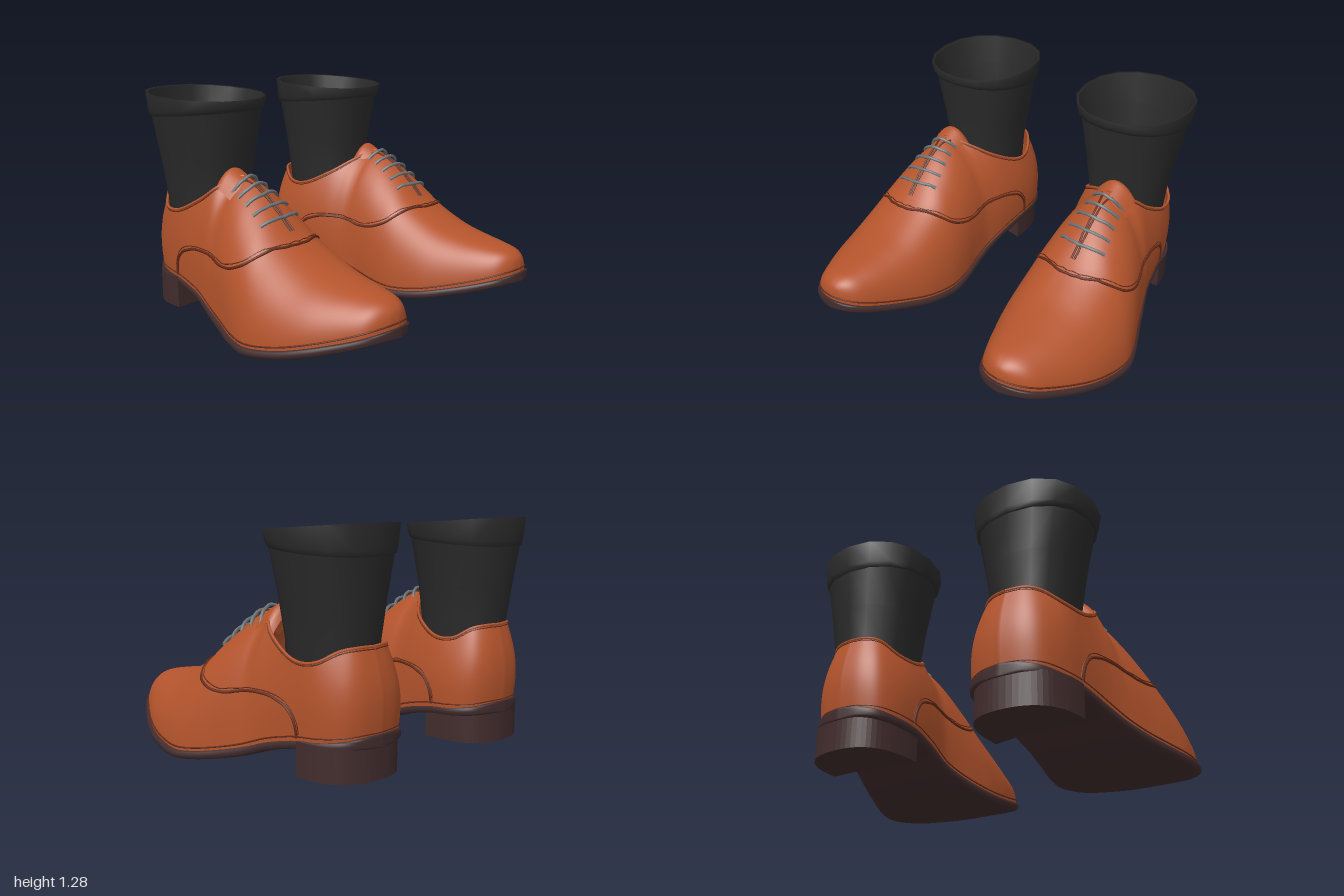
import * as THREE from 'three';
import { mergeGeometries, mergeVertices } from 'three/addons/utils/BufferGeometryUtils.js';

const mat = (name, color) => new THREE.MeshStandardMaterial({ name, color, side: THREE.DoubleSide });
const V = (x, y, z) => new THREE.Vector3(x, y, z);
const lerp = THREE.MathUtils.lerp;

// Stations toe to heel: z, sole bottom y, inner x, outer x, top y, top inner x, top outer x, heel blend
const STATIONS = [
  [0.885, 0.168, 0.59, 0.59, 0.25, 0.59, 0.59, 0],
  [0.868, 0.162, 0.51, 0.675, 0.305, 0.59, 0.59, 0],
  [0.81, 0.142, 0.43, 0.768, 0.345, 0.59, 0.59, 0],
  [0.70, 0.105, 0.365, 0.842, 0.37, 0.59, 0.59, 0],
  [0.54, 0.06, 0.295, 0.925, 0.40, 0.59, 0.59, 0],
  [0.38, 0.023, 0.24, 0.975, 0.447, 0.588, 0.588, 0],
  [0.20, 0.002, 0.215, 0.997, 0.543, 0.585, 0.585, 0],
  [0.06, 0.012, 0.225, 0.965, 0.67, 0.585, 0.585, 0],
  [-0.08, 0.038, 0.248, 0.91, 0.775, 0.585, 0.585, 0],
  [-0.20, 0.068, 0.26, 0.865, 0.825, 0.585, 0.585, 0.2],
  [-0.28, 0.095, 0.258, 0.835, 0.775, 0.455, 0.70, 0.6],
  [-0.38, 0.13, 0.246, 0.805, 0.70, 0.345, 0.745, 0.9],
  [-0.55, 0.168, 0.23, 0.775, 0.62, 0.28, 0.765, 1],
  [-0.70, 0.18, 0.237, 0.745, 0.62, 0.29, 0.74, 1],
  [-0.81, 0.193, 0.285, 0.688, 0.675, 0.34, 0.66, 1],
  [-0.865, 0.203, 0.375, 0.603, 0.69, 0.41, 0.59, 1],
  [-0.885, 0.204, 0.49, 0.49, 0.69, 0.495, 0.495, 1],
];
const RIDGE_END = 9 / 16; // where the collar starts to open

// Smooth interpolation of a whole station, s from 0 (toe) to 1 (heel)
function station(s) {
  const n = STATIONS.length - 1, f = s * n, i = Math.min(Math.floor(f), n - 1), t = f - i;
  const row = k => STATIONS[THREE.MathUtils.clamp(k, 0, n)];
  const [a, b, c, d] = [row(i - 1), row(i), row(i + 1), row(i + 2)];
  return b.map((q, k) => {
    // keep the closed ridge exactly closed
    if ((k === 5 || k === 6) && s <= RIDGE_END) return lerp(q, c[k], t);
    const m0 = (c[k] - a[k]) / 2, m1 = (d[k] - q) / 2;
    return q + m0 * t + (3 * (c[k] - q) - 2 * m0 - m1) * t * t + (m0 + m1 - 2 * (c[k] - q)) * t * t * t;
  });
}

// Point on the upper: side +1 outer, -1 inner; t from welt (0) to ridge or collar (1)
function upperPoint(side, s, t) {
  const [z, yb, xi, xo, yt, ti, to, k] = station(s);
  const mid = (xi + xo) / 2, inset = lerp(0.95, 0.98, k);
  const x0 = mid + ((side > 0 ? xo : xi) - mid) * inset, x1 = side > 0 ? to : ti;
  // round over the toe, tented under the laces, open and bulging at the heel
  const a = t * Math.PI / 2, tent = Math.exp(-(((z + 0.1) / 0.2) ** 2));
  const fx = Math.max(0, Math.cos(a)) ** (side > 0 ? lerp(0.95, 1.4, tent) : lerp(0.75, 1.25, tent));
  const fy = Math.sin(a) ** lerp(1, 0.72, tent);
  const f = lerp(fx, 1 - t ** 2.2, k), g = lerp(fy, t, k);
  const back = THREE.MathUtils.smoothstep(-z, 0.55, 0.88);
  const y0 = yb + 0.045, bulge = Math.sin(Math.PI * t) * k * 0.04 * (x0 - mid);
  return V(lerp(x1, x0, f) + bulge, lerp(y0, yt, g),
    z * 0.98 + back * (0.044 * t - 0.03 * Math.sin(Math.PI * t)));
}

// Surface from a rule fn(u, v), both 0..1
function grid(nu, nv, fn) {
  const pos = [], idx = [];
  for (let i = 0; i <= nu; i++) for (let j = 0; j <= nv; j++) pos.push(...fn(i / nu, j / nv).toArray());
  for (let i = 0; i < nu; i++) for (let j = 0; j < nv; j++) {
    const a = i * (nv + 1) + j, b = a + nv + 1;
    idx.push(a, b, a + 1, b, b + 1, a + 1);
  }
  const g = new THREE.BufferGeometry();
  g.setAttribute('position', new THREE.Float32BufferAttribute(pos, 3));
  g.setIndex(idx);
  return g;
}
function smooth(g) {
  const m = mergeVertices(g, 1e-5);
  m.computeVertexNormals();
  return m;
}
const tube = (pts, r, n = 60) => new THREE.TubeGeometry(new THREE.CatmullRomCurve3(pts), n, r, 6);
const steps = n => [...Array(n + 1).keys()].map(i => i / n);

// Sampled upper, used to lay seams and laces on the surface
const samples = { '1': [], '-1': [] };
for (const side of [1, -1]) for (let i = 0; i <= 400; i++) for (let j = 0; j <= 90; j++)
  samples[side].push(upperPoint(side, i / 400, j / 90));
function nearest(side, score) {
  let best = null, low = Infinity;
  for (const p of samples[side]) { const d = score(p); if (d < low) { low = d; best = p; } }
  return best.clone();
}
const onTop = (x, z) => nearest(x > 0.585 ? 1 : -1,
  p => (p.x - x) ** 2 + (p.z - z) ** 2 + (p.y < 0.35 ? 1 : 0));

function buildShoe(m) {
  const shoe = new THREE.Group();
  const add = (name, geo, material) => {
    const mesh = new THREE.Mesh(geo, material);
    mesh.name = name;
    shoe.add(mesh);
  };

  // Leather upper: outer and inner halves joined along the ridge
  add('upper', smooth(mergeGeometries([1, -1].map(side =>
    grid(112, 24, (u, v) => upperPoint(side, u, side > 0 ? v : 1 - v))))), m.leather);

  // Sole: rounded slab following the stations
  add('sole', smooth(grid(96, 24, (u, v) => {
    const [z, yb, xi, xo] = station(u), a = v * Math.PI * 2;
    const soft = (c, e) => Math.sign(c) * Math.abs(c) ** e;
    const half = 0.027 + 0.005 * THREE.MathUtils.smoothstep(u, 0, 0.3);
    return V((xi + xo) / 2 + (xo - xi) / 2 * soft(Math.cos(a), 0.35),
      yb + half + half * soft(Math.sin(a), 0.5), z);
  })), m.sole);

  // Heel block
  const heelShape = new THREE.Shape();
  heelShape.moveTo(0.248, 0.515);
  heelShape.quadraticCurveTo(0.5, 0.575, 0.772, 0.565);
  heelShape.bezierCurveTo(0.772, 0.76, 0.69, 0.875, 0.49, 0.875);
  heelShape.bezierCurveTo(0.31, 0.875, 0.235, 0.77, 0.248, 0.515);
  const heel = new THREE.ExtrudeGeometry(heelShape, { depth: 0.18, bevelEnabled: false, curveSegments: 16 });
  heel.rotateX(-Math.PI / 2).translate(0, 0.04, 0);
  add('heel', heel, m.sole);

  // Tongue rising behind the laces and curling down at the back
  add('tongue', smooth(grid(14, 20, (u, v) => {
    const a = u * 2 - 1, curl = Math.max(0, (v - 0.78) / 0.22) ** 2;
    return V(0.587 + a * 0.125, 0.748 + 0.145 * v - 0.1 * a * a - 0.09 * curl, -0.06 - 0.26 * v);
  })), m.leather);

  // Quarter seam with a second stitch row, collar rim and welt stitching on both sides
  const seam = new THREE.CatmullRomCurve3([[0.09, 0.445], [0, 0.408], [-0.1, 0.402],
    [-0.25, 0.422], [-0.4, 0.418], [-0.5, 0.38], [-0.55, 0.315], [-0.565, 0.235]].map(([z, y]) => V(0, y, z)));
  for (const side of [1, -1]) {
    for (const [shift, r] of [[0, 0.008], [0.016, 0.003]]) {
      const front = steps(6).map(i => {
        const d = 0.2 * i;
        return onTop(0.585 + side * Math.max(d, 0.0001), 0.23 - 1.8 * d * d - shift);
      });
      const flank = seam.getSpacedPoints(14).map(q =>
        nearest(side, p => (p.z - q.z + shift * 0.7) ** 2 + (p.y - q.y - shift) ** 2));
      add('quarterSeam', tube([...front, ...flank].map(p => p.add(V(0, 0.002, 0))), r, 100), m.thread);
    }
    const along = (s0, t) => steps(36).map(i => upperPoint(side, lerp(s0, 1, i), t));
    add('collarRim', tube(along(RIDGE_END, 1), 0.008), m.leather);
    add('collarStitch', tube(along(RIDGE_END, 0.97), 0.0035), m.thread);
    add('weltStitch', tube(along(0, 0).map(p => p.add(V(0, 0.026, 0))), 0.005, 90), m.thread);
    // Facing edges of the lace opening
    add('facingEdge', tube(steps(10).map(i =>
      onTop(0.585 + side * (0.009 + 0.035 * i ** 8), 0.16 - 0.36 * i).add(V(0, 0.002, 0))), 0.0065, 30), m.thread);
  }

  // Laces bowed over the ridge
  for (let i = 0; i < 5; i++) {
    const zMid = 0.105 - 0.065 * i, half = 0.14 - 0.011 * i;
    const pts = steps(8).map(k => {
      const a = k * 2 - 1, x = 0.59 + half * a, z = zMid - 0.04 * a * a;
      return V(x, onTop(x, z).y + 0.02 - 0.018 * a ** 4, z + 0.006);
    });
    add('lace', tube(pts, 0.0095, 24), m.lace);
  }

  // Sock: leg, folded cuff, then the inside down to the insole
  // rows: y at back, y at front, x min, x max, z back, z front
  const leg = [[0.45, 0.45, 0.31, 0.72, -0.78, -0.31], [0.70, 0.70, 0.298, 0.742, -0.803, -0.315],
    [0.9, 0.9, 0.268, 0.778, -0.825, -0.295], [1.12, 1.17, 0.222, 0.828, -0.852, -0.258]];
  const cuff = [[1.12, 1.17, 0.213, 0.837, -0.861, -0.245], [1.15, 1.19, 0.205, 0.847, -0.866, -0.24],
    [1.28, 1.23, 0.19, 0.862, -0.873, -0.232], [1.275, 1.225, 0.205, 0.847, -0.858, -0.246]];
  const inside = [cuff[3], [1.1, 1.1, 0.24, 0.81, -0.835, -0.272], [0.7, 0.7, 0.315, 0.725, -0.79, -0.328],
    [0.32, 0.32, 0.33, 0.71, -0.77, -0.325], [0.3, 0.3, 0.36, 0.68, -0.75, -0.355], [0.3, 0.3, 0.52, 0.52, -0.55, -0.55]];
  const rings = rows => smooth(grid(16, rows.length - 1, (u, v) => {
    const [yB, yF, xa, xb, zB, zF] = rows[Math.round(v * (rows.length - 1))];
    const a = u * Math.PI * 2, f = (1 - Math.sin(a)) / 2;
    const soft = c => Math.sign(c) * Math.abs(c) ** 0.9;
    return V((xa + xb) / 2 + (xb - xa) / 2 * soft(Math.cos(a)), lerp(yB, yF, f),
      (zB + zF) / 2 - (zF - zB) / 2 * soft(Math.sin(a)));
  }));
  add('sockLeg', rings(leg), m.sock);
  add('sockCuff', rings([leg[3], ...cuff]), m.sock);
  add('sockInside', rings(inside), m.sock);
  return shoe;
}

export function createModel() {
  const materials = {
    leather: mat('tan leather', 0xb4542c),
    sole: mat('dark brown sole', 0x422c2d),
    thread: mat('dark red thread', 0x642a18),
    lace: mat('grey lace', 0x6e7375),
    sock: mat('black sock', 0x2a2a2a),
  };
  const model = new THREE.Group();
  model.name = 'pairOfShoes';
  const left = buildShoe(materials);
  left.name = 'leftShoe';
  const right = left.clone();
  right.name = 'rightShoe';
  right.scale.x = -1;
  model.add(left, right);
  return model;
}
